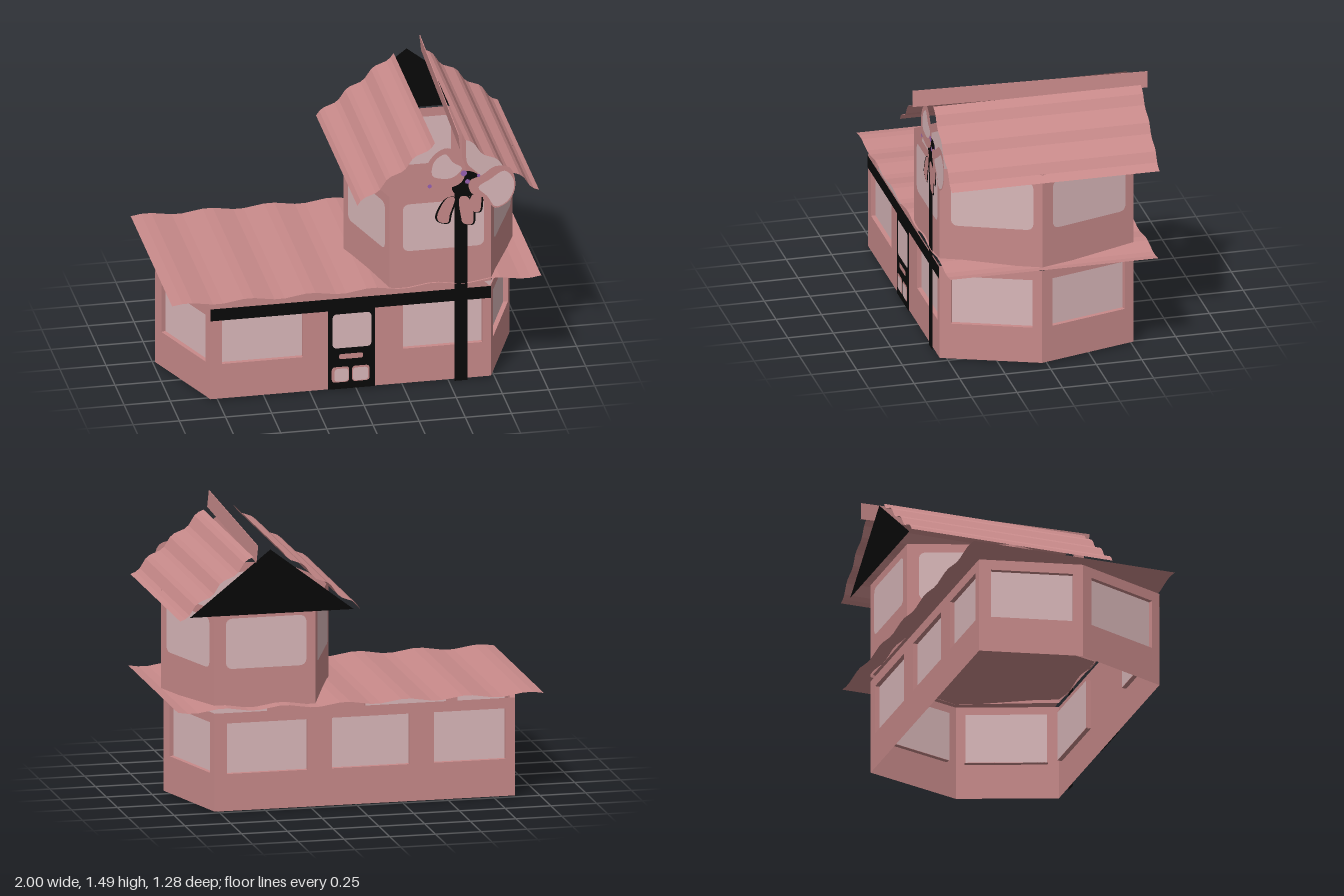
import * as THREE from 'three';

const mat = (name, color) => {
  const m = new THREE.MeshStandardMaterial({ color, side: THREE.DoubleSide, flatShading: true });
  m.name = name;
  return m;
};

export function createModel() {
  const pink = mat('pink', 0xc88a8a);
  const pale = mat('paleGlass', 0xdab8ba);
  const black = mat('black', 0x080808);
  const purple = mat('purple', 0x9a62b4);
  const model = new THREE.Group();

  const add = (parent, name, geo, material, x = 0, y = 0, z = 0) => {
    const m = new THREE.Mesh(geo, material);
    m.name = name;
    m.position.set(x, y, z);
    parent.add(m);
    return m;
  };
  const group = (name, parent = model) => {
    const g = new THREE.Group();
    g.name = name;
    parent.add(g);
    return g;
  };
  // rectangle outline with optional rounded corners
  const rect = (x0, y0, x1, y1, r = 0, C = THREE.Shape) => {
    const s = new C();
    if (!r) {
      s.moveTo(x0, y0); s.lineTo(x1, y0); s.lineTo(x1, y1); s.lineTo(x0, y1);
      s.closePath();
      return s;
    }
    s.moveTo(x0 + r, y0);
    s.lineTo(x1 - r, y0); s.quadraticCurveTo(x1, y0, x1, y0 + r);
    s.lineTo(x1, y1 - r); s.quadraticCurveTo(x1, y1, x1 - r, y1);
    s.lineTo(x0 + r, y1); s.quadraticCurveTo(x0, y1, x0, y1 - r);
    s.lineTo(x0, y0 + r); s.quadraticCurveTo(x0, y0, x0 + r, y0);
    return s;
  };
  const flat = (shape) => new THREE.ShapeGeometry(shape, 6);

  // ring of walls; each window is a [start, end] fraction of its wall
  const storey = (name, corners, y0, y1, w0, w1, windows, recessed) => {
    const g = group(name);
    corners.forEach(([ax, az], i) => {
      const [bx, bz] = corners[(i + 1) % corners.length];
      const len = Math.hypot(bx - ax, bz - az);
      const wall = group('wallSide', g);
      wall.position.set(ax, 0, az);
      wall.rotation.y = Math.atan2(az - bz, bx - ax);
      const shape = rect(0, y0, len, y1);
      for (const [u0, u1] of windows[i]) {
        const a = u0 * len, b = u1 * len, depth = 0.025;
        if (!recessed) {
          add(wall, 'window', flat(rect(a, w0, b, w1, 0.04)), pale, 0, 0, 0.003);
          add(wall, 'windowInside', flat(rect(a, w0, b, w1, 0.04)), pale, 0, 0, -0.003);
          continue;
        }
        shape.holes.push(rect(a, w0, b, w1, 0, THREE.Path));
        add(wall, 'windowPane', flat(rect(a, w0, b, w1)), pale, 0, 0, -depth);
        for (const y of [w0, w1])
          add(wall, 'windowSill', new THREE.BoxGeometry(b - a, 0.004, depth), pink, (a + b) / 2, y, -depth / 2);
        for (const x of [a, b])
          add(wall, 'windowJamb', new THREE.BoxGeometry(0.004, w1 - w0, depth), pink, x, (w0 + w1) / 2, -depth / 2);
      }
      add(wall, 'wall', flat(shape), pink);
    });
  };
  const whole = [[0.11, 0.91]];
  storey('lowerStorey',
    [[-0.79, 0.54], [0.73, 0.54], [0.93, 0.03], [0.78, -0.51], [-0.86, -0.51], [-0.99, 0.03]],
    0.01, 0.545, 0.21, 0.49,
    [[[0.04, 0.33], [0.684, 0.97]], whole, whole, [[0.04, 0.31], [0.39, 0.65], [0.73, 0.97]], whole, whole], true);
  storey('upperStorey',
    [[0.18, 0.54], [0.73, 0.54], [0.945, 0.03], [0.78, -0.51], [0.23, -0.51], [0.03, 0.03]],
    0.57, 1.11, 0.785, 1.06, [[[0.13, 0.93]], whole, whole, whole, whole, whole], false);

  // corrugated sheet sloping from (x0, y0) to (x1, y1)
  const sheet = (name, x0, y0, x1, y1, z0, z1, waves, amp) => {
    const geo = new THREE.PlaneGeometry(Math.hypot(x1 - x0, y1 - y0), z1 - z0, waves * 6, 1);
    geo.rotateX(-Math.PI / 2);
    const p = geo.attributes.position;
    for (let i = 0; i < p.count; i++) {
      const u = (i % (waves * 6 + 1)) / (waves * 6);
      p.setY(i, amp * Math.sin(u * waves * Math.PI * 2));
    }
    geo.computeVertexNormals();
    const m = add(model, name, geo, pink, (x0 + x1) / 2, (y0 + y1) / 2, (z0 + z1) / 2);
    m.rotation.z = Math.atan2(y1 - y0, x1 - x0);
  };
  sheet('lowerRoof', -1, 0.58, 1, 0.58, -0.59, 0.55, 6, 0.01);
  sheet('upperRoofLeft', 0.59, 1.41, 0.99, 1.08, -0.6, 0.54, 3, 0.011);
  sheet('upperRoofRight', 0, 1.09, 0.42, 1.42, -0.57, 0.57, 3, 0.011);

  // floating ridge strip
  const ridge = add(model, 'ridgeStrip', new THREE.BoxGeometry(0.004, 0.09, 1.28), pink, 0.56, 1.44, 0);
  ridge.rotation.set(-0.008, -0.031, 0.1);

  // rear gable
  const gable = new THREE.Shape();
  gable.moveTo(0.035, 1.09); gable.lineTo(0.93, 1.09); gable.lineTo(0.49, 1.44);
  add(model, 'rearGable', flat(gable), black, 0, 0, -0.57);

  // ribbons on the front
  add(model, 'bandRibbon', flat(rect(-0.79, 0.47, 0.73, 0.54)), black, 0, 0, 0.544);
  add(model, 'uprightRibbon', flat(rect(0.53, 0, 0.6, 1.12)), black, 0, 0, 0.546);

  // door with lights and a letter slot
  const door = group('door');
  door.position.z = 0.546;
  add(door, 'doorPanel', flat(rect(-0.155, 0.01, 0.1, 0.48)), black);
  for (const [n, m, ...r] of [
    ['doorLight', pale, -0.13, 0.25, 0.08, 0.45, 0.025], ['doorSlot', pink, -0.095, 0.185, 0.035, 0.215, 0.012],
    ['lowerLightEdge', pink, -0.135, 0.05, -0.04, 0.14, 0.02], ['lowerLightEdge', pink, -0.025, 0.05, 0.07, 0.14, 0.02],
    ['lowerLight', pale, -0.12, 0.055, -0.045, 0.13, 0.02], ['lowerLight', pale, -0.02, 0.055, 0.062, 0.13, 0.02],
  ]) add(door, n, flat(rect(...r)), m, 0, 0, n === 'lowerLight' ? 0.004 : 0.002);

  // flat bow, built in layers from smooth outlines
  const bow = group('bow');
  bow.position.z = 0.548;
  const blob = (name, material, z, pts) => {
    const v = pts.map(([x, y]) => new THREE.Vector3(x, y, 0));
    const curve = new THREE.CatmullRomCurve3(v, true);
    add(bow, name, flat(new THREE.Shape(curve.getPoints(36).map((p) => new THREE.Vector2(p.x, p.y)))), material, 0, 0, z);
  };
  blob('bowKnot', black, 0, [[0.53, 1.2], [0.6, 1.23], [0.67, 1.19], [0.66, 1.1], [0.58, 1.08], [0.52, 1.12]]);
  blob('loopRight', pink, 0.002, [[0.38, 1.17], [0.375, 1.27], [0.43, 1.35], [0.49, 1.375], [0.55, 1.34], [0.59, 1.25], [0.57, 1.17], [0.5, 1.14], [0.43, 1.15]]);
  blob('loopRightInside', pale, 0.003, [[0.41, 1.22], [0.42, 1.3], [0.48, 1.34], [0.52, 1.29], [0.57, 1.25], [0.52, 1.2], [0.45, 1.2]]);
  blob('loopLeft', pink, 0.002, [[0.61, 1.17], [0.68, 1.2], [0.75, 1.245], [0.83, 1.23], [0.86, 1.13], [0.83, 1.04], [0.75, 1.0], [0.7, 1.06], [0.62, 1.1]]);
  blob('loopLeftInside', pale, 0.003, [[0.66, 1.13], [0.72, 1.17], [0.8, 1.215], [0.845, 1.17], [0.85, 1.1], [0.81, 1.03], [0.75, 1.01], [0.71, 1.07]]);
  // tails: black edge with pink inside
  for (const [x0, y0, x1, y1] of [[0.51, 1.08, 0.47, 0.95], [0.58, 1.08, 0.6, 0.93], [0.65, 1.09, 0.64, 1.0]])
    [[0.045, black, 0.001], [0.034, pink, 0.002]].forEach(([w, m, z]) =>
      blob('bowTail', m, z, [[x0 - w * 0.6, y0], [x0 + w * 0.6, y0], [x1 + w, y1 + 0.03], [x1 + w * 0.7, y1 - w * 0.4], [x1 - w * 0.7, y1 - w * 0.1], [x1 - w, y1 + 0.03]]));
  for (const [x, y, r] of [[0.58, 1.22, 0.018], [0.6, 1.17, 0.014], [0.395, 1.16, 0.012], [0.66, 1.2, 0.01]])
    add(bow, 'bowBead', new THREE.CircleGeometry(r, 8), purple, x, y, 0.004);

  return model;
}
